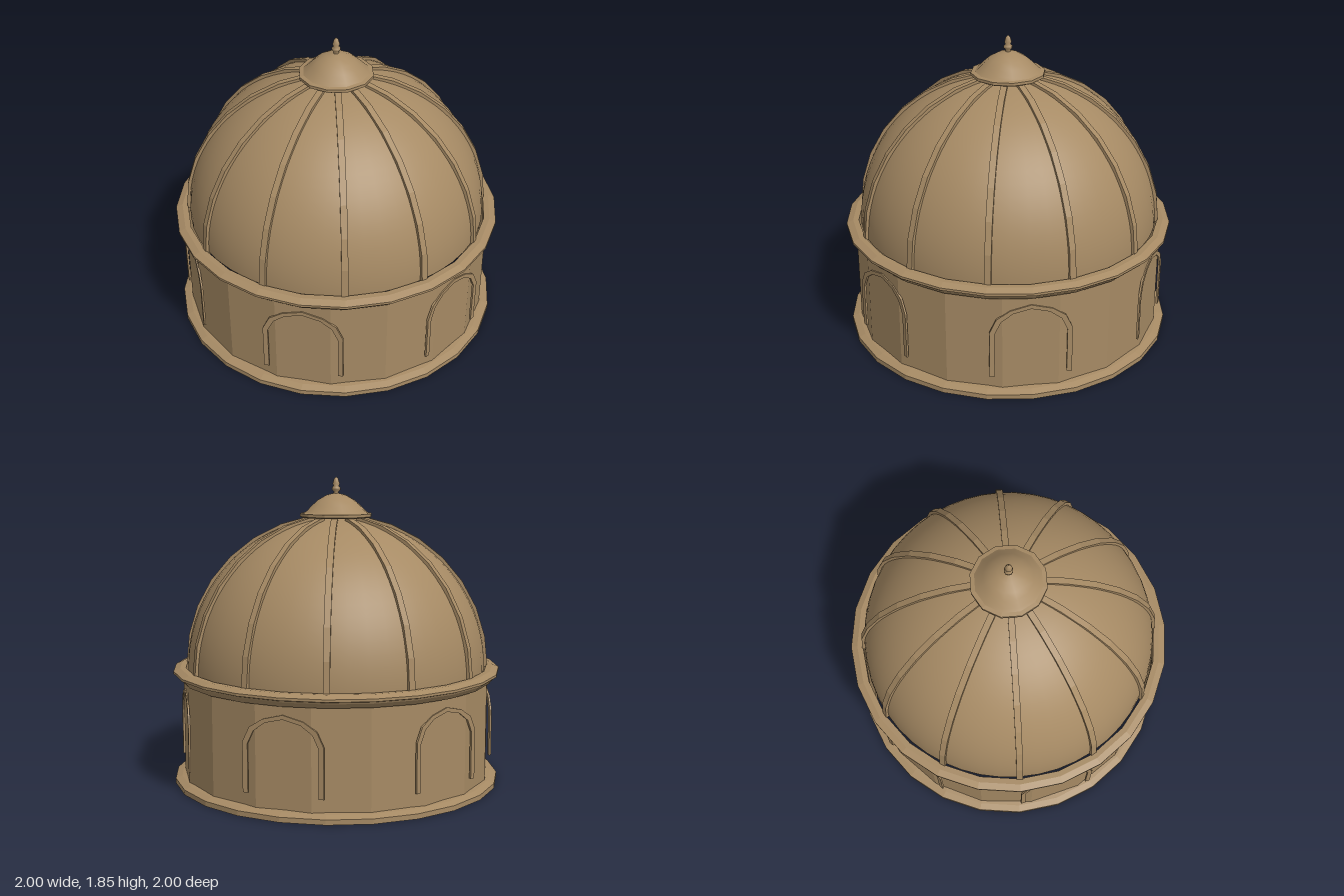
import * as THREE from 'three';

export function createModel() {
  const model = new THREE.Group();
  const stone = new THREE.MeshStandardMaterial({ color: 0xa68a64, side: THREE.DoubleSide });
  stone.name = 'sandstone';

  const flat = (geometry) => {
    const g = geometry.index ? geometry.toNonIndexed() : geometry;
    g.computeVertexNormals();
    return g;
  };
  const add = (name, geometry, parent = model) => {
    const mesh = new THREE.Mesh(geometry, stone);
    mesh.name = name;
    parent.add(mesh);
    return mesh;
  };
  const lathe = (pairs, sides) =>
    new THREE.LatheGeometry(pairs.map(([r, y]) => new THREE.Vector2(r, y)), sides);

  // Open drum wall
  const wall = new THREE.CylinderGeometry(0.943, 0.943, 0.67, 18, 1, true);
  wall.translate(0, 0.355, 0);
  add('drumWall', flat(wall));

  // Base moulding and cornice, as closed ring profiles
  add('baseMoulding', flat(lathe(
    [[0.94, 0], [1, 0], [1, 0.03], [0.96, 0.045], [0.93, 0.05], [0.94, 0]], 24)));
  add('cornice', flat(lathe(
    [[0.925, 0.635], [0.955, 0.637], [0.97, 0.655], [0.98, 0.665], [0.985, 0.675],
      [1, 0.68], [1, 0.695], [0.96, 0.712], [0.925, 0.712], [0.925, 0.635]], 24)));

  // Six-sided ring inside, under the dome
  add('innerRing', flat(lathe(
    [[0.85, 0.69], [0.9, 0.69], [0.9, 0.72], [0.85, 0.72], [0.85, 0.69]], 6)));

  // Six arched frames on the drum
  const archPoints = (w, spring, shoulder, top) => [
    [-w, 0.13], [-w, spring], [-w * 0.83, shoulder - 0.035], [-w * 0.5, shoulder + 0.015], [0, top],
    [w * 0.5, shoulder + 0.015], [w * 0.83, shoulder - 0.035], [w, spring], [w, 0.13],
  ].map(([x, y]) => new THREE.Vector2(x, y));
  const archShape = new THREE.Shape([
    ...archPoints(0.238, 0.42, 0.54, 0.585),
    ...archPoints(0.208, 0.41, 0.52, 0.56).reverse(),
  ]);
  const archGeometry = new THREE.ExtrudeGeometry(archShape, { depth: 0.012, bevelEnabled: false });
  archGeometry.translate(0, 0, 0.924);
  for (let i = 0; i < 6; i++) {
    add('archFrame', archGeometry).rotation.y = Math.PI / 6 + i * Math.PI / 3;
  }

  // Smooth hemispherical dome
  const dome = new THREE.SphereGeometry(0.91, 48, 20, 0, Math.PI * 2, 0, Math.PI / 2);
  dome.translate(0, 0.7, 0);
  add('dome', dome);

  // Twelve ribs: a rectangular section swept up the dome in straight steps
  const ribGeometry = () => {
    const steps = 7, half = 0.019, position = [], index = [];
    for (let i = 0; i <= steps; i++) {
      const a = (i / steps) * 1.4;
      for (const [x, r] of [[-half, 0.89], [half, 0.89], [half, 0.93], [-half, 0.93]]) {
        position.push(x, 0.7 + r * Math.sin(a), r * Math.cos(a));
      }
      if (i === steps) continue;
      for (let k = 0; k < 4; k++) {
        const p = i * 4 + k, q = i * 4 + (k + 1) % 4;
        index.push(p, p + 4, q, q, p + 4, q + 4);
      }
    }
    // End caps
    const e = steps * 4;
    index.push(0, 1, 2, 0, 2, 3, e, e + 2, e + 1, e, e + 3, e + 2);
    const g = new THREE.BufferGeometry();
    g.setAttribute('position', new THREE.Float32BufferAttribute(position, 3));
    // Reverse the winding so that the sides face outward
    for (let t = 0; t < index.length; t += 3) [index[t], index[t + 1]] = [index[t + 1], index[t]];
    g.setIndex(index);
    return flat(g);
  };
  const rib = ribGeometry();
  for (let i = 0; i < 12; i++) {
    add('rib', rib).rotation.y = Math.PI / 12 + i * Math.PI / 6;
  }

  // Cap with flange and small finial
  add('capFlange', flat(lathe(
    [[0, 1.608], [0.21, 1.608], [0.222, 1.615], [0.222, 1.632], [0.19, 1.638]], 12)));
  add('cap', lathe(
    [[0.2, 1.634], [0.18, 1.65], [0.145, 1.685], [0.11, 1.715], [0.06, 1.743], [0, 1.757]], 12));
  add('finial', lathe(
    [[0.018, 1.745], [0.014, 1.762], [0.026, 1.775], [0.026, 1.787], [0.016, 1.797],
      [0.022, 1.81], [0.013, 1.84], [0, 1.853]], 10));

  return model;
}
